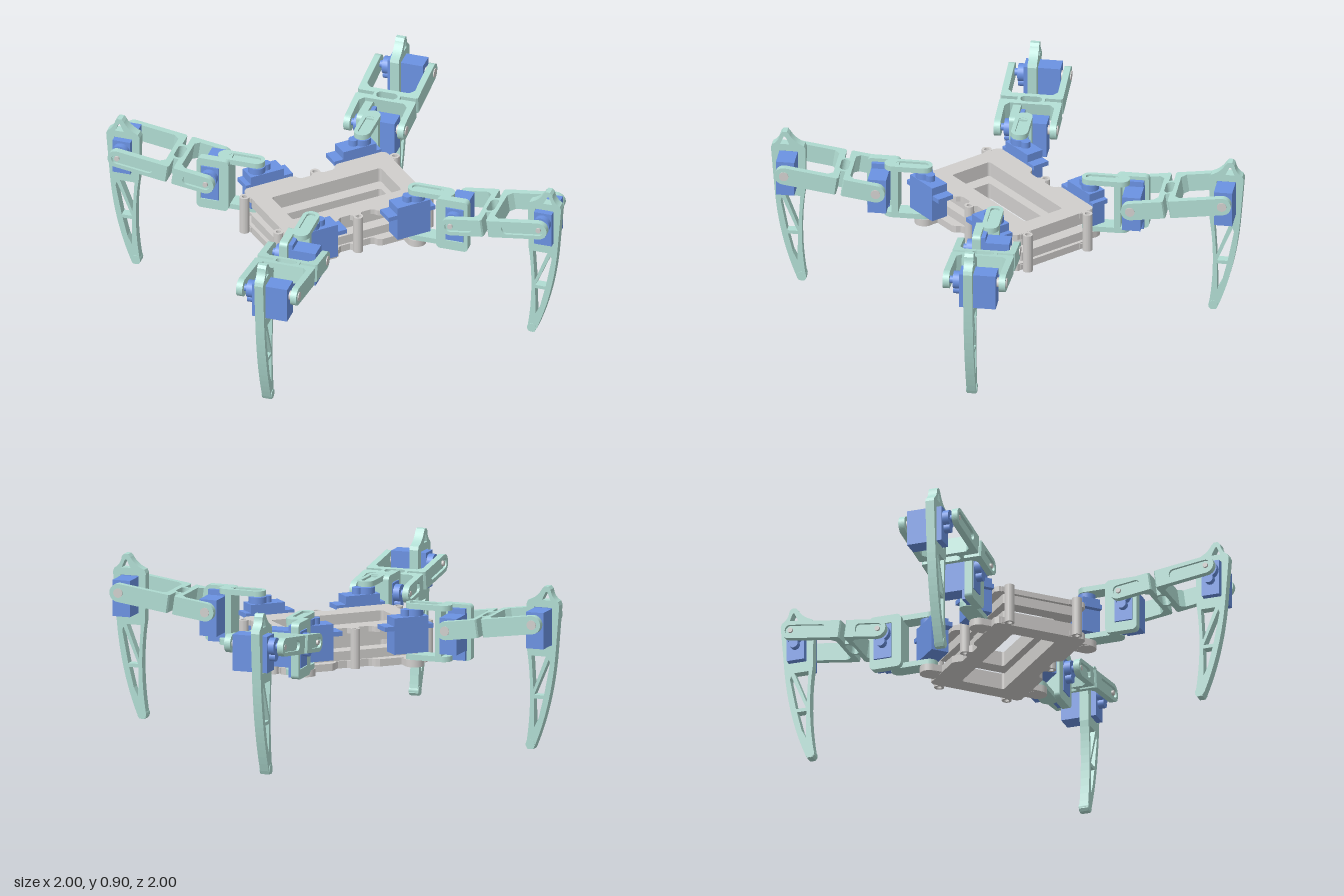
import * as THREE from 'three';

const blue = new THREE.MeshStandardMaterial({ color: 0x6b92e2 });
blue.name = 'servo blue';
const green = new THREE.MeshStandardMaterial({ color: 0xb0dcd2 });
green.name = 'pale green';
const grey = new THREE.MeshStandardMaterial({ color: 0xd0cecc });
grey.name = 'body grey';

function add(parent, name, geo, mat, x = 0, y = 0, z = 0) {
  const m = new THREE.Mesh(geo, mat);
  m.name = name;
  m.position.set(x, y, z);
  parent.add(m);
  return m;
}
const group = (name) => Object.assign(new THREE.Group(), { name });

// box given by its min and max corners
function block(parent, name, mat, [x0, x1], [y0, y1], [z0, z1]) {
  return add(parent, name, new THREE.BoxGeometry(x1 - x0, y1 - y0, z1 - z0), mat,
    (x0 + x1) / 2, (y0 + y1) / 2, (z0 + z1) / 2);
}
const rod = (r, h) => new THREE.CylinderGeometry(r, r, h, 24);

// extrusion centred on its thickness, standing in xy or laid flat in xz
function slab(shape, t, flat = false) {
  const g = new THREE.ExtrudeGeometry(shape, { depth: t, bevelEnabled: false, curveSegments: 12 });
  g.translate(0, 0, -t / 2);
  if (flat) g.rotateX(-Math.PI / 2);
  return g;
}
function capsule(x0, x1, r, C = THREE.Shape) {
  const s = new C();
  s.absarc(x1, 0, r, -Math.PI / 2, Math.PI / 2, false);
  s.absarc(x0, 0, r, Math.PI / 2, Math.PI * 1.5, false);
  s.closePath();
  return s;
}
function roundRect(x0, x1, y0, y1, r, C = THREE.Shape) {
  const s = new C();
  s.absarc(x1 - r, y0 + r, r, -Math.PI / 2, 0, false);
  s.absarc(x1 - r, y1 - r, r, 0, Math.PI / 2, false);
  s.absarc(x0 + r, y1 - r, r, Math.PI / 2, Math.PI, false);
  s.absarc(x0 + r, y0 + r, r, Math.PI, Math.PI * 1.5, false);
  s.closePath();
  return s;
}
const vecs = (pts) => pts.map(([x, y]) => new THREE.Vector2(x, y));

// servo: shaft on the y axis, base of the case at y = 0
function servo(name) {
  const g = group(name);
  block(g, 'servoCase', blue, [-0.14, 0.06], [0, 0.2], [-0.05, 0.05]);
  block(g, 'servoTabs', blue, [-0.195, 0.09], [0.13, 0.155], [-0.049, 0.049]);
  add(g, 'servoTower', rod(0.048, 0.035), blue, 0, 0.2175, 0);
  add(g, 'servoGear', rod(0.026, 0.035), blue, -0.055, 0.2175, 0);
  add(g, 'servoShaft', rod(0.02, 0.03), blue, 0, 0.24, 0);
  return g;
}
// servo lying with its shaft towards side s and its case hanging down
function jointServo(name, u, y, s) {
  const g = servo(name);
  g.quaternion.setFromRotationMatrix(new THREE.Matrix4().makeBasis(
    new THREE.Vector3(0, 1, 0), new THREE.Vector3(0, 0, s), new THREE.Vector3(s, 0, 0)));
  g.position.set(u, y, -0.12 * s);
  return g;
}

// hip bracket: two arms around the hip axis and a frame for the next servo
function hipBracket(s) {
  const g = group('hipBracket');
  const slotted = capsule(0, 0.17, 0.046);
  slotted.holes.push(capsule(0, 0.13, 0.024, THREE.Path));
  add(g, 'upperArm', slab(capsule(0, 0.17, 0.046), 0.018, true), green, 0, 0.739, 0);
  add(g, 'upperArmRim', slab(slotted, 0.012, true), green, 0, 0.754, 0);
  add(g, 'lowerArm', slab(capsule(0, 0.17, 0.046), 0.03, true), green, 0, 0.465, 0);
  block(g, 'bracketBack', green, [0.135, 0.17], [0.452, 0.758], [-0.046, 0.046]);
  const frame = roundRect(0.135, 0.315, 0.45, 0.76, 0.025);
  frame.holes.push(roundRect(0.188, 0.292, 0.505, 0.715, 0.004, THREE.Path));
  add(g, 'servoFrame', slab(frame, 0.045), green, 0, 0, 0.056 * s);
  add(g, 'hipPin', rod(0.02, 0.06), grey, 0, 0.46, 0);
  return g;
}

// double fork between the two joints, origin on the inner pivot
function upperLeg(s) {
  const g = group('upperLeg');
  const L = 0.505, H = 0.1;
  const core = new THREE.Shape(vecs([
    [0.125, -0.17], [0.18, -0.17], [0.187, -0.16], [0.187, -0.075], [0.213, -0.075], [0.213, -0.16], [0.22, -0.17],
    [0.28, -0.17], [0.28, -0.14], [0.248, -0.11], [0.248, 0.11], [0.28, 0.14], [0.28, 0.17],
    [0.22, 0.17], [0.213, 0.16], [0.213, 0.075], [0.187, 0.075], [0.187, 0.16], [0.18, 0.17],
    [0.125, 0.17], [0.125, 0.14], [0.155, 0.11], [0.155, -0.11], [0.125, -0.14]]));
  const slot = new THREE.Path();
  slot.absarc(0.2, 0.035, 0.024, 0, Math.PI, false);
  slot.absarc(0.2, -0.035, 0.024, Math.PI, Math.PI * 2, false);
  slot.closePath();
  core.holes.push(slot);
  add(g, 'forkCore', slab(core, H, true), green);
  // arms: one end round at the pivot, the other square at the core
  const arm = (pivot, end, hole) => {
    const d = Math.sign(end - pivot), a = new THREE.Shape();
    a.moveTo(end, -H / 2);
    a.lineTo(pivot, -H / 2);
    a.absarc(pivot, 0, H / 2, -Math.PI / 2, Math.PI / 2, d > 0);
    a.lineTo(end, H / 2);
    a.closePath();
    if (hole) a.holes.push(capsule(Math.min(pivot, pivot + d * hole), Math.max(pivot, pivot + d * hole), 0.028, THREE.Path));
    return a;
  };
  for (const [pivot, end, hole] of [[0, 0.15, 0.1], [L, 0.255, 0.18]]) {
    add(g, 'plainArm', slab(arm(pivot, end), 0.035), green, 0, 0, -0.1525 * s);
    add(g, 'hornArm', slab(arm(pivot, end), 0.02), green, 0, 0, 0.145 * s);
    add(g, 'hornArmRim', slab(arm(pivot, end, hole), 0.015), green, 0, 0, 0.1625 * s);
    add(g, 'pivotPin', rod(0.026, 0.058), grey, pivot, 0, -0.146 * s).rotation.x = Math.PI / 2;
    add(g, 'pivotScrew', rod(0.014, 0.03), grey, pivot, 0, 0.152 * s).rotation.x = Math.PI / 2;
  }
  g.position.set(0.24, 0.65, 0);
  g.rotation.z = Math.asin(0.07 / L);
  return g;
}

// curved lower leg with a servo frame, a crest and a lightened blade
function lowerLeg(s) {
  const g = group('lowerLeg');
  const leg = new THREE.Shape();
  leg.moveTo(0.642, 0.015);
  leg.lineTo(0.652, 0);
  leg.lineTo(0.684, 0);
  leg.lineTo(0.694, 0.02);
  leg.bezierCurveTo(0.76, 0.18, 0.8, 0.36, 0.815, 0.55);
  leg.lineTo(0.835, 0.8);
  leg.lineTo(0.828, 0.82);
  leg.quadraticCurveTo(0.79, 0.84, 0.785, 0.885);
  leg.lineTo(0.772, 0.9);
  leg.lineTo(0.748, 0.9);
  leg.lineTo(0.735, 0.885);
  leg.quadraticCurveTo(0.71, 0.84, 0.655, 0.82);
  leg.lineTo(0.646, 0.8);
  leg.lineTo(0.65, 0.54);
  leg.bezierCurveTo(0.672, 0.4, 0.675, 0.2, 0.642, 0.015);
  leg.holes.push(roundRect(0.688, 0.792, 0.575, 0.785, 0.004, THREE.Path));
  for (const pts of [
    [[0.69, 0.12], [0.715, 0.17], [0.742, 0.28], [0.688, 0.28]],
    [[0.69, 0.3], [0.747, 0.3], [0.782, 0.48], [0.775, 0.5]],
    [[0.686, 0.33], [0.757, 0.515], [0.675, 0.515]],
    [[0.735, 0.825], [0.785, 0.825], [0.766, 0.87], [0.757, 0.87]],
  ]) leg.holes.push(new THREE.Path(vecs(pts)));
  add(g, 'legBlade', slab(leg, 0.05), green, 0, 0, 0.027 * s);
  add(g, 'foot', rod(0.026, 0.056), green, 0.668, 0.026, 0.027 * s).rotation.x = Math.PI / 2;
  return g;
}

function legAssembly(name, x, z, angle, s) {
  const g = group(name);
  g.add(hipBracket(s), jointServo('kneeServo', 0.24, 0.65, s), upperLeg(s),
    jointServo('ankleServo', 0.74, 0.72, s), lowerLeg(s));
  g.position.set(x, 0, z);
  g.rotation.y = angle;
  return g;
}

function body() {
  const g = group('body');
  const hole = () => roundRect(-0.33, 0.33, -0.125, 0.125, 0.015, THREE.Path);
  // plate outline, notched around the middle posts
  const outline = () => {
    const half = [[0.43, 0.25], [0.41, 0.268], [0.14, 0.268], [0.118, 0.255], [0.108, 0.235], [0.09, 0.226], [0.035, 0.226], [0.02, 0.245]];
    const top = half.concat(half.map(([x, y]) => [-x, y]).reverse());
    const s = new THREE.Shape(vecs(top.concat(top.map(([x, y]) => [-x, -y]))));
    s.holes.push(hole());
    return s;
  };
  add(g, 'topPlate', slab(outline(), 0.03, true), grey, 0, 0.615, 0);
  add(g, 'bottomPlate', slab(outline(), 0.04, true), grey, 0, 0.43, 0);
  // rims standing on the plates, leaving a slot between them
  const rim = roundRect(-0.41, 0.41, -0.215, 0.215, 0.015);
  rim.holes.push(hole());
  add(g, 'topRim', slab(rim, 0.055, true), grey, 0, 0.5745, 0);
  add(g, 'bottomRim', slab(rim, 0.052, true), grey, 0, 0.474, 0);
  // posts with lugs
  for (const [x, z] of [[0.455, 0.2], [0.455, -0.2], [-0.455, 0.2], [-0.455, -0.2], [0, 0.255], [0, -0.255]]) {
    const ring = new THREE.Shape().absarc(0, 0, 0.027, 0, Math.PI * 2, false);
    ring.holes.push(new THREE.Path().absarc(0, 0, 0.014, 0, Math.PI * 2, true));
    add(g, 'post', slab(ring, 0.22, true), grey, x, 0.52, z);
    if (x) for (const y of [0.615, 0.43]) {
      const a = Math.sign(x);
      block(g, 'lug', grey, [Math.min(a * 0.41, a * 0.435), Math.max(a * 0.41, a * 0.435)], [y - 0.014, y + 0.014], [z - 0.035, z + 0.035]);
    }
  }
  for (const a of [1, -1]) for (const b of [1, -1]) {
    // round hip seats on the bottom plate
    add(g, 'hipSeat', rod(0.052, 0.04), grey, a * 0.32, 0.43, b * 0.32);
    block(g, 'hipSeatWeb', grey, [a * 0.32 - 0.052, a * 0.32 + 0.052], [0.411, 0.449], b > 0 ? [0.24, 0.32] : [-0.32, -0.24]);
    const m = servo('hipServo');
    m.position.set(a * 0.32, 0.49, b * 0.32);
    if (a < 0) m.rotation.y = Math.PI;
    g.add(m);
  }
  return g;
}

export function createModel() {
  const model = group('walkingRobot');
  const q = Math.PI / 4, h = 0.32;
  model.add(body(),
    legAssembly('frontLeftLeg', h, h, -q, 1),
    legAssembly('frontRightLeg', -h, h, -3 * q, 1),
    legAssembly('backLeftLeg', h, -h, q, -1),
    legAssembly('backRightLeg', -h, -h, 3 * q, -1));
  return model;
}
